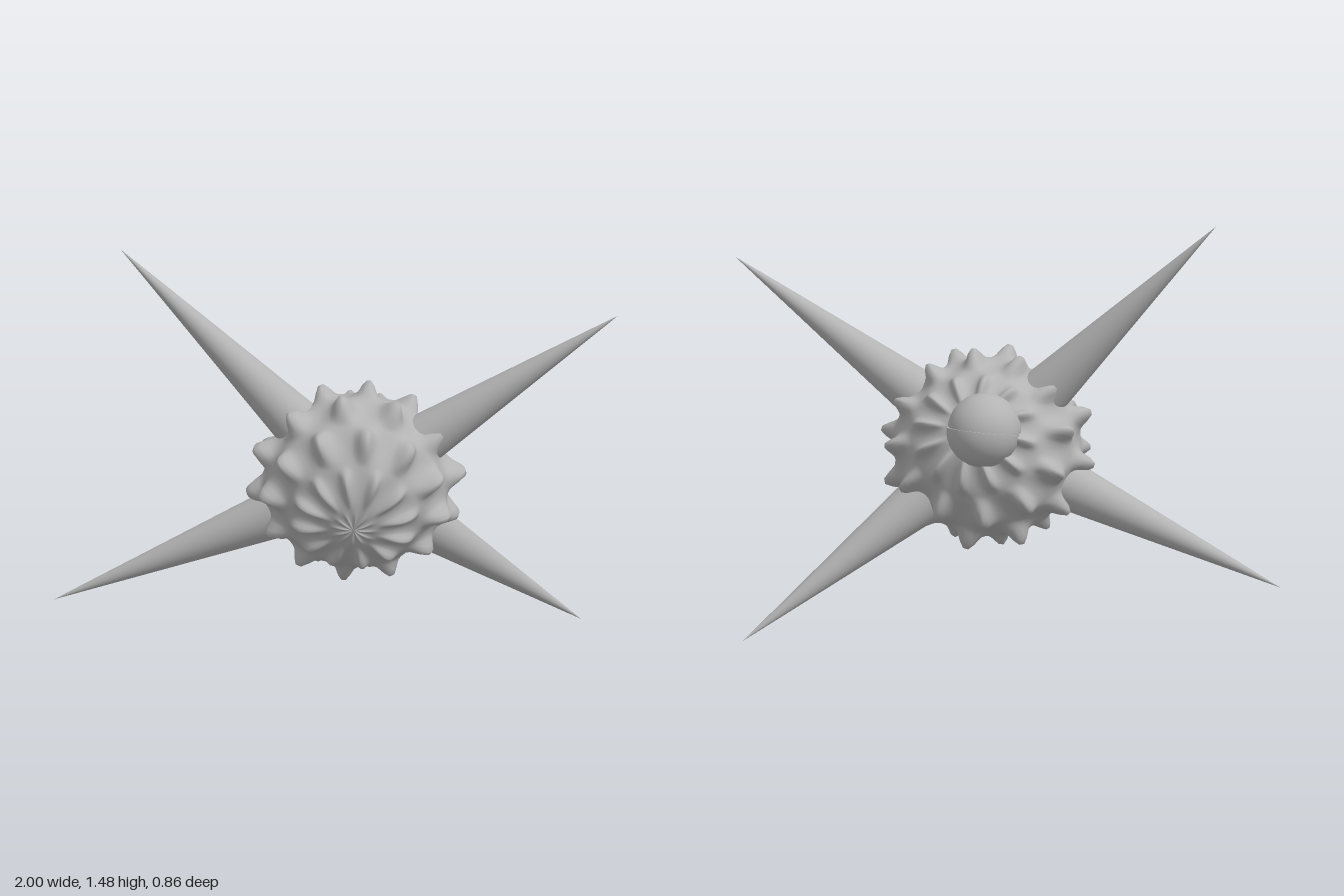
import * as THREE from 'three';
import { mergeVertices } from 'three/addons/utils/BufferGeometryUtils.js';

const CENTER = new THREE.Vector3(0.07, 0.64, 0.125);
const AXIS = new THREE.Vector3(0.06, -0.366, 0.923).normalize(); // from the eye to the front pole

// Sphere, flattened at the front, with staggered rows of bumps that fade towards the poles
function bumpyGeometry() {
  let g = new THREE.SphereGeometry(1, 144, 112);
  g.deleteAttribute('uv');
  g.deleteAttribute('normal');
  g = mergeVertices(g, 1e-5);
  const p = g.attributes.position;
  const v = new THREE.Vector3();
  for (let i = 0; i < p.count; i++) {
    v.fromBufferAttribute(p, i).normalize();
    const theta = Math.acos(THREE.MathUtils.clamp(v.y, -1, 1));
    const phi = Math.atan2(-v.z, v.x) - 0.105;
    const f = -Math.cos(6 * theta) * Math.cos(12 * phi);
    const bump = f > 0 ? 0.06 * Math.pow(f, 1.4) : 0.012 * f;
    v.multiplyScalar(0.327 + bump * Math.sin(theta));
    p.setXYZ(i, v.x * 1.02, v.y * (v.y > 0 ? 0.87 : 0.95), v.z * 0.97);
  }
  g.computeVertexNormals();
  return g;
}

export function createModel() {
  const model = new THREE.Group();
  model.name = 'spikedCreature';
  const grey = new THREE.MeshStandardMaterial({ color: 0xb3b3b3 });
  grey.name = 'plainGrey';

  // Body, tilted so that its poles lie at the front and behind the eye
  const body = new THREE.Mesh(bumpyGeometry(), grey);
  body.name = 'body';
  const u = new THREE.Vector3(1, 0, 0).addScaledVector(AXIS, -AXIS.x).normalize();
  const w = new THREE.Vector3().crossVectors(u, AXIS);
  body.quaternion.setFromRotationMatrix(new THREE.Matrix4().makeBasis(u, AXIS, w));
  body.position.copy(CENTER);
  model.add(body);

  // Four long spikes pointing away from the centre
  const tips = {
    upperRightSpike: [-0.765, 1.475, 0.14],
    upperLeftSpike: [1, 1.275, 0.12],
    lowerRightSpike: [-1, 0.185, 0.155],
    lowerLeftSpike: [0.815, 0, -0.42],
  };
  for (const [name, t] of Object.entries(tips)) {
    const dir = new THREE.Vector3(...t).sub(CENTER);
    const length = dir.length() - 0.22;
    dir.normalize();
    const spike = new THREE.Mesh(new THREE.ConeGeometry(0.098, length, 48), grey);
    spike.name = name;
    spike.quaternion.setFromUnitVectors(new THREE.Vector3(0, 1, 0), dir);
    spike.position.copy(CENTER).addScaledVector(dir, 0.22 + length / 2);
    model.add(spike);
  }

  // Eyeball at the back, with two lids meeting in a thin seam
  const eye = new THREE.Group();
  eye.name = 'eye';
  eye.position.set(0.01, 0.75, -0.132);
  eye.rotation.set(0.15, 0, 0.06);
  const ball = new THREE.Mesh(new THREE.SphereGeometry(0.124, 40, 28), grey);
  ball.name = 'eyeball';
  eye.add(ball);
  for (const s of [1, -1]) {
    const lid = new THREE.Mesh(new THREE.SphereGeometry(0.13, 40, 16, 0, Math.PI * 2, 0, Math.PI / 2), grey);
    lid.name = s > 0 ? 'upperLid' : 'lowerLid';
    const rim = new THREE.Mesh(new THREE.CircleGeometry(0.13, 40), grey);
    rim.name = 'lidRim';
    rim.rotation.x = Math.PI / 2;
    lid.add(rim);
    lid.position.set(0, s * 0.002, s > 0 ? 0.006 : -0.006);
    if (s < 0) lid.rotation.x = Math.PI;
    eye.add(lid);
  }
  model.add(eye);
  return model;
}
